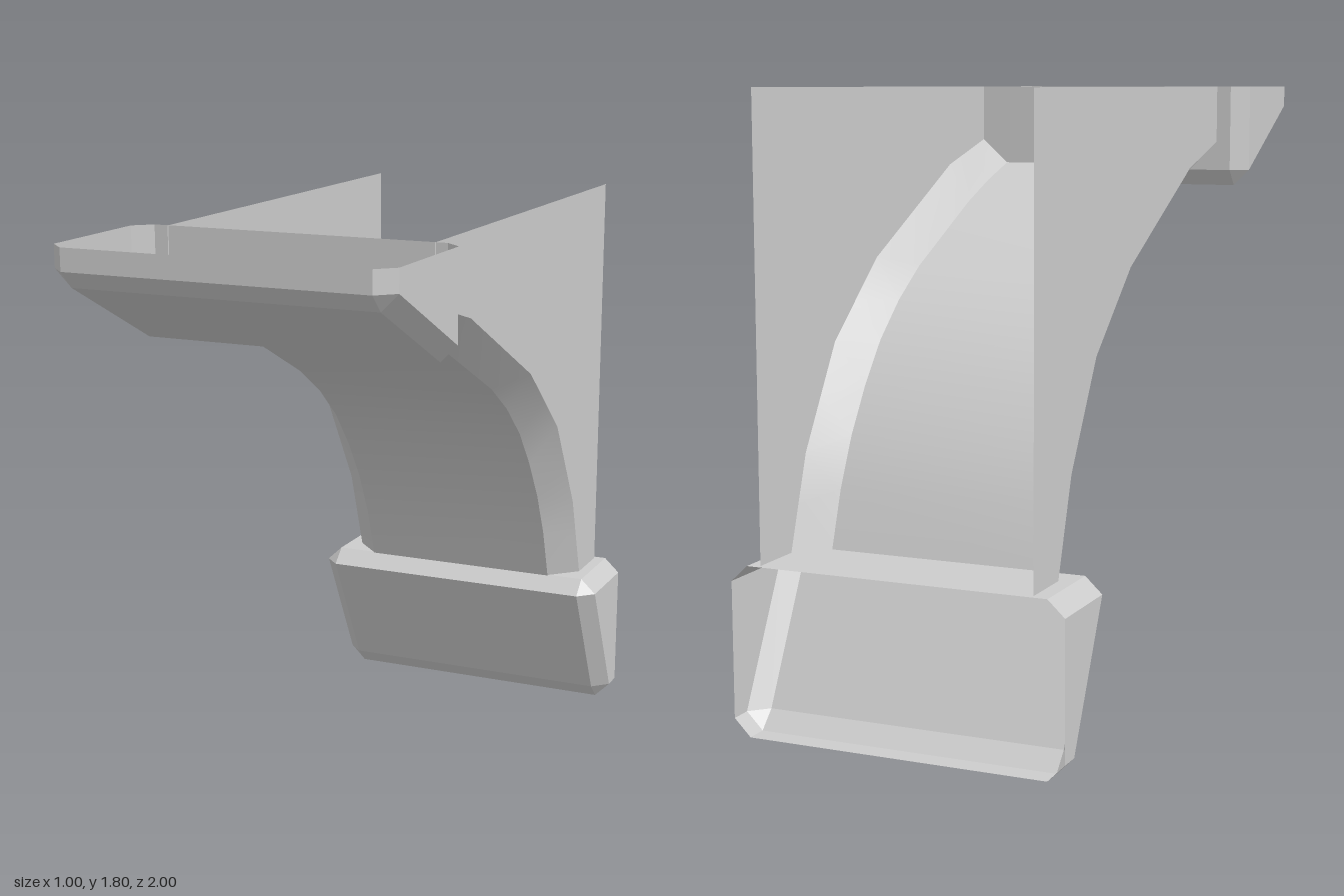
import * as THREE from 'three';

const smoothMat = new THREE.MeshStandardMaterial({ color: 0xcccccc, side: THREE.DoubleSide });
const flatMat = new THREE.MeshStandardMaterial({ color: 0xcccccc, side: THREE.DoubleSide, flatShading: true });

// Surface through rows of points; zero-area triangles are dropped.
function loft(rows) {
  const n = rows[0].length, index = [];
  const pts = rows.flat().map(p => new THREE.Vector3(...p));
  const tri = (a, b, c) => {
    if (new THREE.Triangle(pts[a], pts[b], pts[c]).getArea() > 1e-7) index.push(a, b, c);
  };
  for (let r = 0; r < rows.length - 1; r++) {
    for (let i = 0; i < n - 1; i++) {
      const a = r * n + i, b = a + n;
      tri(a, b, a + 1);
      tri(a + 1, b, b + 1);
    }
  }
  const geo = new THREE.BufferGeometry().setFromPoints(pts);
  geo.setIndex(index);
  geo.computeVertexNormals();
  return geo;
}

function addMesh(parent, name, geo, mat) {
  const mesh = new THREE.Mesh(geo, mat);
  mesh.name = name;
  parent.add(mesh);
  return mesh;
}

// Chamfered wedge cap, open at the back.
function endBlockGeometry() {
  // half width at side, height, z of side edge, z of front face
  const sections = [
    [0.45, 0, -0.935, -0.935],
    [0.5, 0.05, -0.935, -0.885],
    [0.5, 0.445, -0.735, -0.685],
    [0.45, 0.492, -0.735, -0.735],
  ];
  const ring = ([w, y, zs, zf], squash = 1) => {
    const half = [[w, -1], [w, zs], [0.45, zf]];
    const all = [...half, ...half.map(([x, z]) => [-x, z]).reverse()];
    return all.map(([x, z]) => [x * squash, y, z]);
  };
  const rings = sections.map(s => ring(s));
  // collapsed rings close the top and bottom
  return loft([ring(sections[0], 0), ...rings, ring(sections[3], 0)]);
}

export function createModel() {
  const model = new THREE.Group();
  model.name = 'archedBracket';

  // Lower block, and the same block turned half round a diagonal axis for the upper end
  const block = endBlockGeometry();
  addMesh(model, 'lowerBlock', block, flatMat);
  const upper = addMesh(model, 'upperBlock', block, flatMat);
  upper.quaternion.setFromAxisAngle(new THREE.Vector3(0, 1, -1).normalize(), Math.PI);
  upper.position.set(0, 0.8, 1);

  // Arch profiles as [z, y], from the upper block down to the lower one
  const inner = [
    [0.513, 1.55], [0.356, 1.497], [0.2, 1.433], [-0.158, 1.257], [-0.297, 1.166],
    [-0.42, 1.059], [-0.52, 0.936], [-0.607, 0.802], [-0.676, 0.658], [-0.732, 0.49],
  ];
  const corners = [
    [0.513, 1.626], [0.243, 1.55], [-0.275, 1.289], [-0.543, 1.064], [-0.725, 0.765], [-0.817, 0.49],
  ];
  // Outer edge gets midpoints so it pairs with the inner profile (none on the long middle run)
  const outer = [];
  corners.forEach((p, i) => {
    outer.push(p);
    const q = corners[i + 1];
    if (q && i !== 1) outer.push([(p[0] + q[0]) / 2, (p[1] + q[1]) / 2]);
  });

  const strip = (x0, edge0, x1, edge1) =>
    loft(edge0.map(([z, y], i) => [[x0, y, z], [x1, edge1[i][1], edge1[i][0]]]));

  const arch = new THREE.Group();
  arch.name = 'arch';
  arch.position.x = 0.005;
  model.add(arch);
  addMesh(arch, 'archFace', strip(-0.325, inner, 0.325, inner), smoothMat);
  addMesh(arch, 'rightBevel', strip(-0.41, outer, -0.325, inner), smoothMat);
  addMesh(arch, 'leftBevel', strip(0.325, inner, 0.41, outer), smoothMat);

  // Thin side panels filling the space above the arch
  const outline = [...corners, [-0.985, 0.49], [-0.98, 1.8], [0.513, 1.8]];
  const panel = new THREE.ShapeGeometry(new THREE.Shape(outline.map(p => new THREE.Vector2(...p))));
  panel.rotateY(-Math.PI / 2);
  for (const [name, x] of [['leftPanel', 0.41], ['rightPanel', -0.41]]) {
    addMesh(arch, name, panel, flatMat).position.x = x;
  }
  return model;
}
